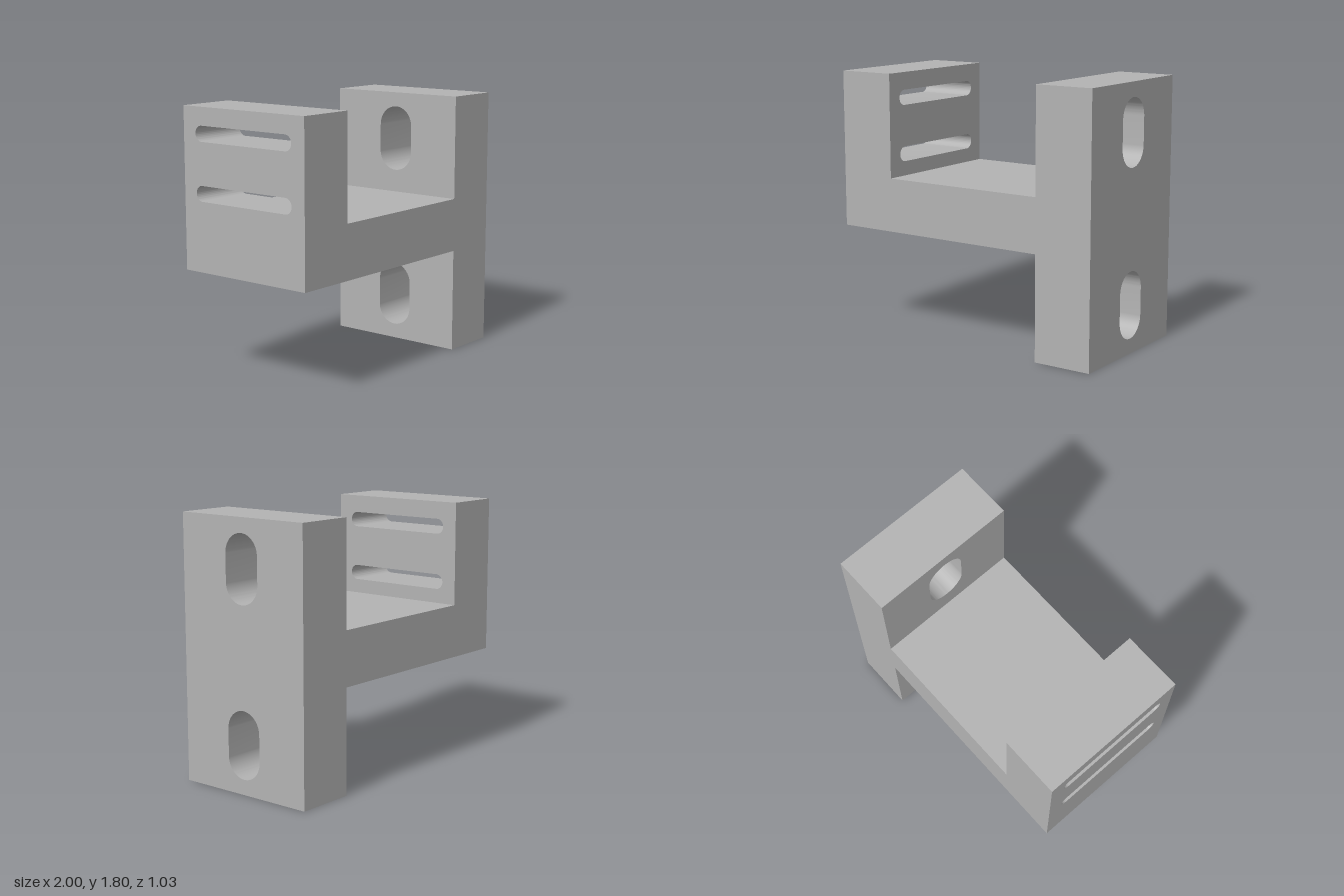
import * as THREE from 'three';
import { toCreasedNormals } from 'three/addons/utils/BufferGeometryUtils.js';

const HALF_DEPTH = 0.513;
const TOP = 1.8, ARM_BOTTOM = 0.717, ARM_TOP = 1.087, INNER = 0.591;

// Rounded slot centred at (0, cy), hw and hh being its half sizes
function slot(cy, hw, hh) {
  const r = Math.min(hw, hh), dx = hw - r, dy = hh - r;
  const path = new THREE.Path();
  if (dx > dy) {
    path.absarc(dx, cy, r, -Math.PI / 2, Math.PI / 2, false);
    path.absarc(-dx, cy, r, Math.PI / 2, Math.PI * 1.5, false);
  } else {
    path.absarc(0, cy + dy, r, 0, Math.PI, false);
    path.absarc(0, cy - dy, r, Math.PI, Math.PI * 2, false);
  }
  path.closePath();
  return path;
}

// Upright plate with slots cut through it along x
function plate(name, x0, x1, bottom, slots, material) {
  const shape = new THREE.Shape([
    new THREE.Vector2(-HALF_DEPTH, bottom),
    new THREE.Vector2(HALF_DEPTH, bottom),
    new THREE.Vector2(HALF_DEPTH, TOP),
    new THREE.Vector2(-HALF_DEPTH, TOP),
  ]);
  shape.holes.push(...slots);
  const geometry = new THREE.ExtrudeGeometry(shape, {
    depth: x1 - x0, bevelEnabled: false, curveSegments: 24,
  });
  geometry.rotateY(Math.PI / 2).translate(x0, 0, 0);
  const mesh = new THREE.Mesh(toCreasedNormals(geometry, 0.6), material);
  mesh.name = name;
  return mesh;
}

export function createModel() {
  const group = new THREE.Group();
  group.name = 'mountingBracket';
  const grey = new THREE.MeshStandardMaterial({ color: 0xb3b3b3 });
  grey.name = 'grey';

  // Tall plate with two upright slots
  group.add(plate('mountingPlate', INNER, 1, 0,
    [0.331, 1.472].map((y) => slot(y, 0.136, 0.228)), grey));

  // Short plate with two long horizontal slots
  group.add(plate('slottedPlate', -1, -INNER, ARM_BOTTOM,
    [1.238, 1.627].map((y) => slot(y, 0.408, 0.052)), grey));

  // Arm joining the plates
  const arm = new THREE.Mesh(
    new THREE.BoxGeometry(INNER * 2, ARM_TOP - ARM_BOTTOM, HALF_DEPTH * 2), grey);
  arm.position.y = (ARM_TOP + ARM_BOTTOM) / 2;
  arm.name = 'connectingArm';
  group.add(arm);

  return group;
}
